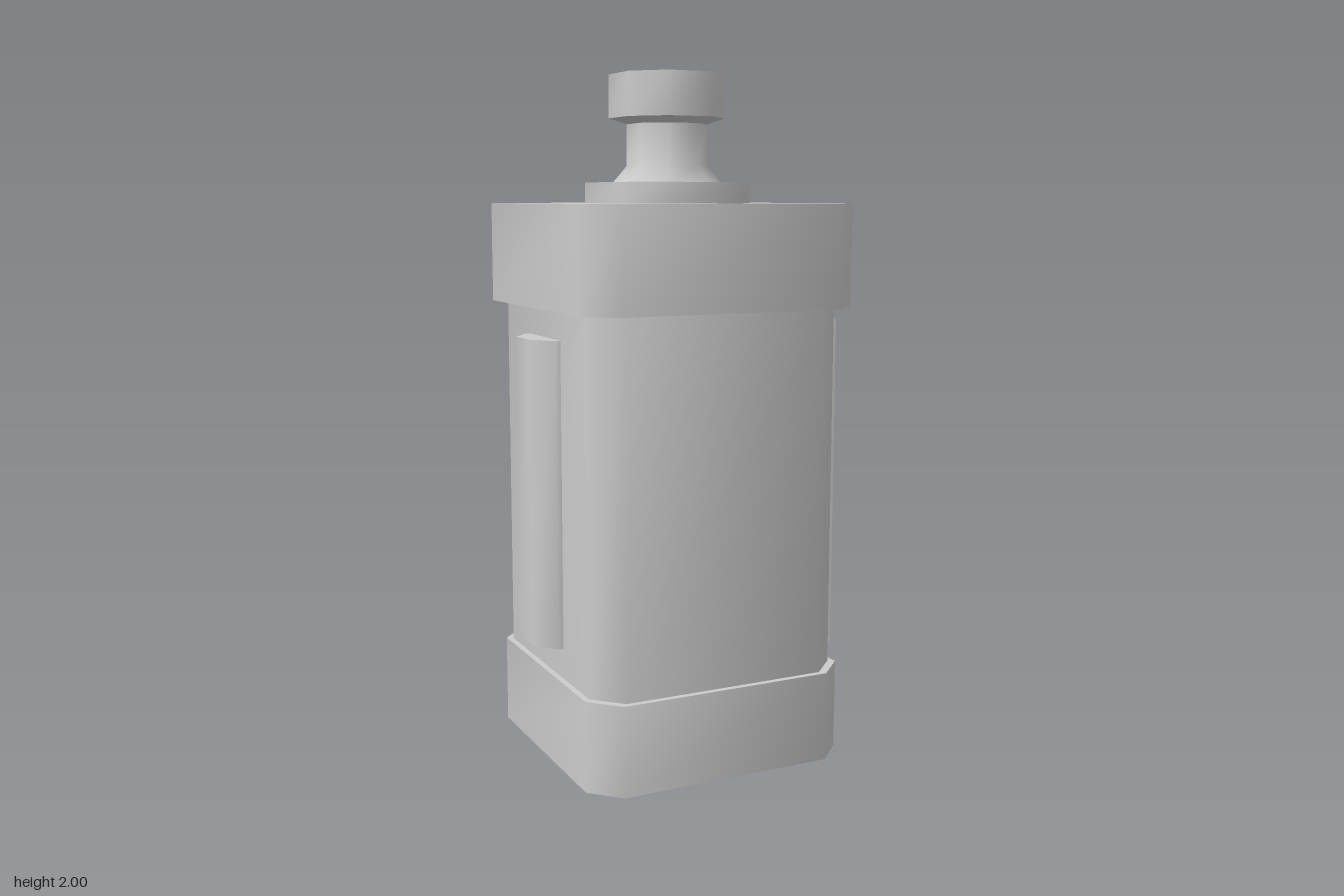
import * as THREE from 'three';
import { toCreasedNormals } from 'three/addons/utils/BufferGeometryUtils.js';

// Square outline with cut corners, counterclockwise seen from above.
function cutSquare(half, cut) {
  const h = half, c = half - cut;
  return [[h, c], [h, -c], [c, -h], [-c, -h], [-h, -c], [-h, c], [-c, h], [c, h]];
}

// Capped solid through stacked rings, each { outline: [[x, z], ...], y }.
function loft(rings) {
  const n = rings[0].outline.length;
  const positions = [], index = [];
  for (const { outline, y } of rings) {
    for (const [x, z] of outline) positions.push(x, y, z);
  }
  for (let j = 0; j < rings.length - 1; j++) {
    for (let i = 0; i < n; i++) {
      const a = j * n + i, b = j * n + (i + 1) % n;
      index.push(a, b, b + n, a, b + n, a + n);
    }
  }
  const top = (rings.length - 1) * n;
  for (let k = 1; k < n - 1; k++) {
    index.push(0, k + 1, k, top, top + k, top + k + 1);
  }
  const geometry = new THREE.BufferGeometry();
  geometry.setAttribute('position', new THREE.Float32BufferAttribute(positions, 3));
  geometry.setIndex(index);
  // Soft around the cut corners, sharp at the rims.
  return toCreasedNormals(geometry, 1.0);
}

export function createModel() {
  const group = new THREE.Group();
  const material = new THREE.MeshStandardMaterial({ color: 0xcccccc });
  const centreX = 0.014;

  const add = (name, geometry, x = 0, y = 0, z = 0) => {
    const mesh = new THREE.Mesh(geometry, material);
    mesh.name = name;
    mesh.position.set(x, y, z);
    group.add(mesh);
  };

  // Main stack: each profile row is [half width, corner cut, height].
  const stack = {
    base: [[0.407, 0.083, 0], [0.407, 0.083, 0.265]],
    body: [[0.389, 0.079, 0.26], [0.389, 0.079, 1.34]],
    lid: [[0.427, 0.087, 1.335], [0.427, 0.087, 1.63]],
    collar: [[0.21, 0.087, 1.625], [0.21, 0.087, 1.69]],
    neck: [[0.146, 0.08, 1.688], [0.108, 0.06, 1.738], [0.108, 0.06, 1.865]],
    knob: [[0.108, 0.06, 1.858], [0.155, 0.085, 1.875], [0.155, 0.085, 2]],
  };
  for (const [name, rows] of Object.entries(stack)) {
    const rings = rows.map(([half, cut, y]) => ({ outline: cutSquare(half, cut), y }));
    add(name, loft(rings), centreX);
  }

  // Raised rectangular panel on the left side.
  add('sidePanel', new THREE.BoxGeometry(0.05, 0.982, 0.558), 0.405, 0.803, 0.002);

  // Faceted upright rib on the right side.
  const rib = [[-0.36, -0.12], [-0.39, -0.12], [-0.444, -0.05],
    [-0.444, 0.05], [-0.39, 0.12], [-0.36, 0.12]];
  add('sideRib', loft([{ outline: rib, y: 0.355 }, { outline: rib, y: 1.25 }]));

  return group;
}
